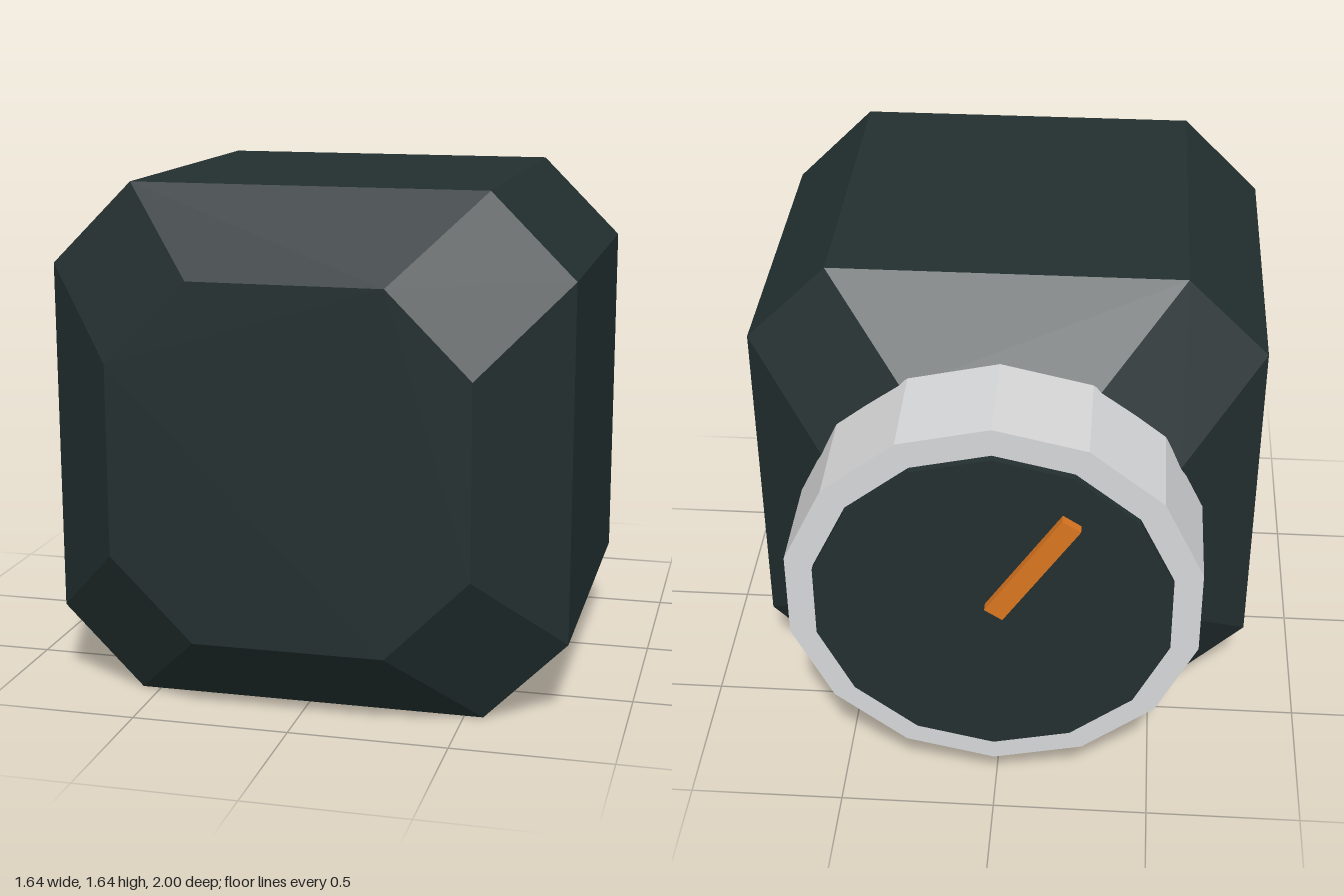
import * as THREE from 'three';
import { ConvexGeometry } from 'three/addons/geometries/ConvexGeometry.js';

const CENTER_Y = 0.82;

const darkGreen = new THREE.MeshStandardMaterial({ color: 0x232f30 });
darkGreen.name = 'darkGreen';
const lightGrey = new THREE.MeshStandardMaterial({ color: 0xd6d7d8 });
lightGrey.name = 'lightGrey';
const orange = new THREE.MeshStandardMaterial({ color: 0xd9751f });
orange.name = 'orange';

// Square with half-width r whose corners are cut by c, placed at depth z
function octagon(r, c, z) {
  const points = [];
  for (const sx of [-1, 1]) {
    for (const sy of [-1, 1]) {
      points.push(
        new THREE.Vector3(sx * r, sy * (r - c), z),
        new THREE.Vector3(sx * (r - c), sy * r, z)
      );
    }
  }
  return points;
}

function part(name, geometry, material, x, y, z) {
  const mesh = new THREE.Mesh(geometry, material);
  mesh.name = name;
  mesh.position.set(x, y, z);
  return mesh;
}

// Flat-sided 14-gon disc along z, with a corner pointing straight up
function disc(radius, depth) {
  const geometry = new THREE.CylinderGeometry(radius, radius, depth, 14).toNonIndexed();
  geometry.rotateX(-Math.PI / 2);
  geometry.computeVertexNormals();
  return geometry;
}

export function createModel() {
  const group = new THREE.Group();
  group.name = 'dialBlock';

  // Octagonal block with bevelled front and back
  const body = new ConvexGeometry([
    ...octagon(0.56, 0.26, 1),
    ...octagon(0.82, 0.26, 0.74),
    ...octagon(0.82, 0.26, -0.36),
    ...octagon(0.56, 0.26, -0.62),
  ]);
  group.add(part('body', body, darkGreen, 0, CENTER_Y, 0));

  // Dial ring and its raised dark face
  group.add(part('dialRing', disc(0.65, 0.344), lightGrey, 0, CENTER_Y, -0.775));
  group.add(part('dialFace', disc(0.56, 0.06), darkGreen, 0, CENTER_Y, -0.94));

  // Pointer running outward from the middle of the dial
  const pointer = part('pointer', new THREE.BoxGeometry(0.066, 0.42, 0.06),
    orange, -0.121, 0.997, -0.97);
  pointer.rotation.z = 0.585;
  group.add(pointer);

  return group;
}
